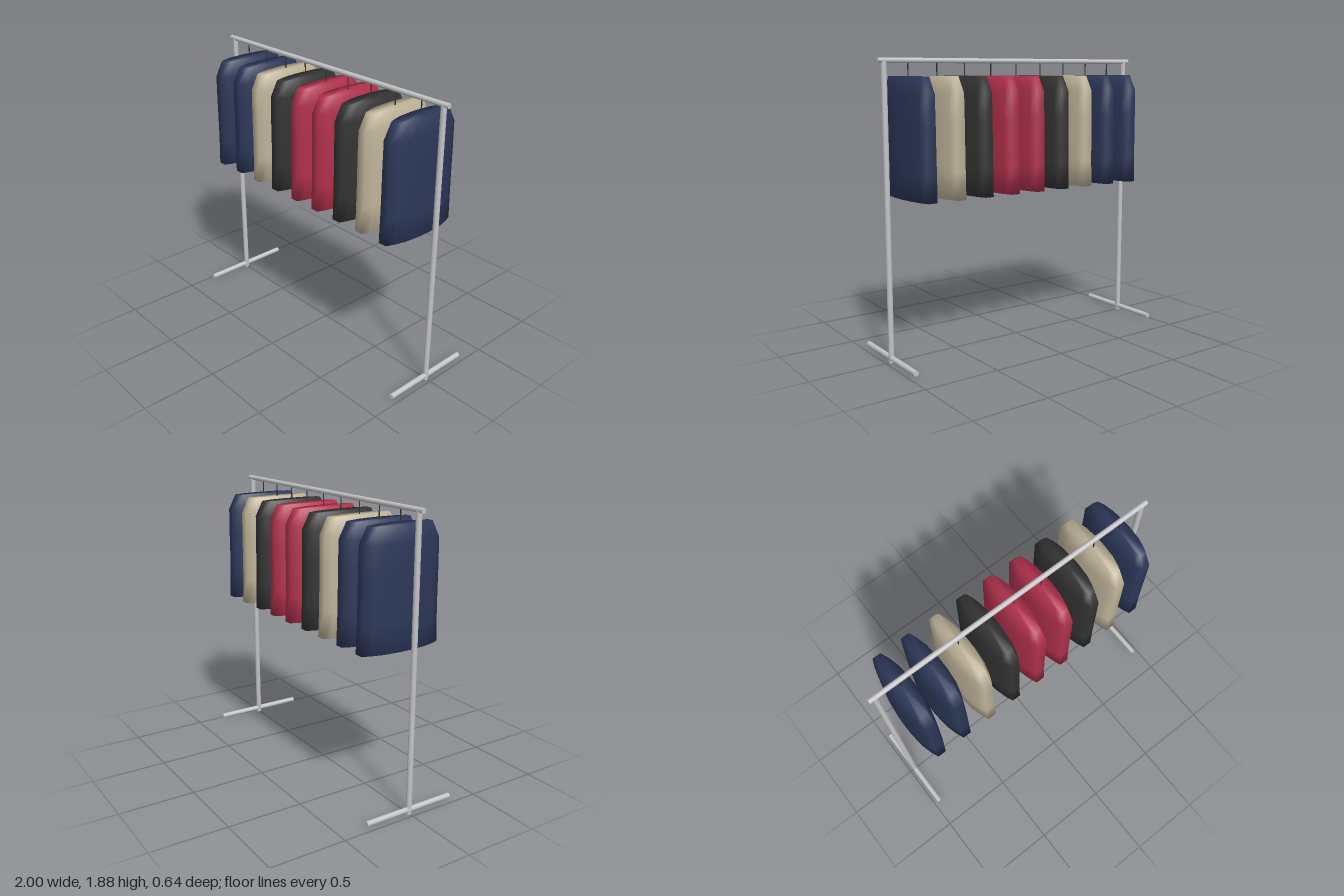
import * as THREE from 'three';

const mat = (name, color) => {
  const m = new THREE.MeshStandardMaterial({ color });
  m.name = name;
  return m;
};

// Garment body: a flattened plan outline lofted through heights, closed at both ends
function garmentGeometry() {
  // quarter plan [x, z] as fractions of half width and half depth, front to side
  const quarter = [[0.36, 1], [0.62, 0.82], [0.87, 0.55], [1, 0.15]];
  const back = quarter.map(([x, z]) => [x, -z]).reverse();
  const half = [...quarter, ...back];
  const plan = [...half, ...half.map(([x, z]) => [-x, z]).reverse()];
  // [height, half width, half depth]
  const levels = [
    [1.03, 0.08, 0.28], [1.2, 0.087, 0.272], [1.32, 0.086, 0.27],
    [1.5, 0.082, 0.27], [1.67, 0.077, 0.268], [1.77, 0.057, 0.22],
  ];
  const n = plan.length;
  const pos = [];
  const idx = [];
  levels.forEach(([y, w, d]) => plan.forEach(([x, z]) => pos.push(x * w, y, z * d)));
  const bottom = levels.length * n;
  const top = bottom + 1;
  pos.push(0, levels[0][0], 0, 0, levels[levels.length - 1][0], 0);
  for (let i = 0; i < n; i++) {
    const j = (i + 1) % n;
    for (let k = 0; k < levels.length - 1; k++) {
      const a = k * n + i, b = k * n + j;
      idx.push(a, b, b + n, a, b + n, a + n);
    }
    const last = (levels.length - 1) * n;
    idx.push(bottom, j, i, top, last + i, last + j);
  }
  const g = new THREE.BufferGeometry();
  g.setAttribute('position', new THREE.Float32BufferAttribute(pos, 3));
  g.setIndex(idx);
  g.computeVertexNormals();
  return g;
}

export function createModel() {
  const group = new THREE.Group();
  group.name = 'clothesRack';

  const steel = mat('steel', 0xc4c4c6);
  const navy = mat('navy cloth', 0x2c3758);
  const beige = mat('beige cloth', 0xbfb398);
  const charcoal = mat('charcoal cloth', 0x333333);
  const red = mat('red cloth', 0xb0304c);

  const add = (name, geometry, material, x = 0, y = 0, z = 0) => {
    const m = new THREE.Mesh(geometry, material);
    m.name = name;
    m.position.set(x, y, z);
    group.add(m);
    return m;
  };
  const tube = (r, length) => new THREE.CylinderGeometry(r, r, length, 16);

  // Frame
  add('topRail', tube(0.016, 2), steel, 0, 1.864, 0).rotation.z = Math.PI / 2;
  for (const [side, s] of [['left', 1], ['right', -1]]) {
    add(side + 'Post', tube(0.018, 1.864), steel, s * 0.96, 0.932, 0);
    add(side + 'Foot', tube(0.0175, 0.64), steel, s * 0.96, 0.028, 0).rotation.x = Math.PI / 2;
  }

  // Garments on hooks, from the model's right to its left
  const body = garmentGeometry();
  const hook = new THREE.CylinderGeometry(0.004, 0.004, 0.1, 8);
  [navy, navy, beige, charcoal, red, red, charcoal, beige, navy].forEach((cloth, i) => {
    const x = -0.8 + i * 0.2;
    add('garment' + (i + 1), body, cloth, x);
    add('hangerHook' + (i + 1), hook, charcoal, x, 1.81, 0);
  });

  return group;
}
